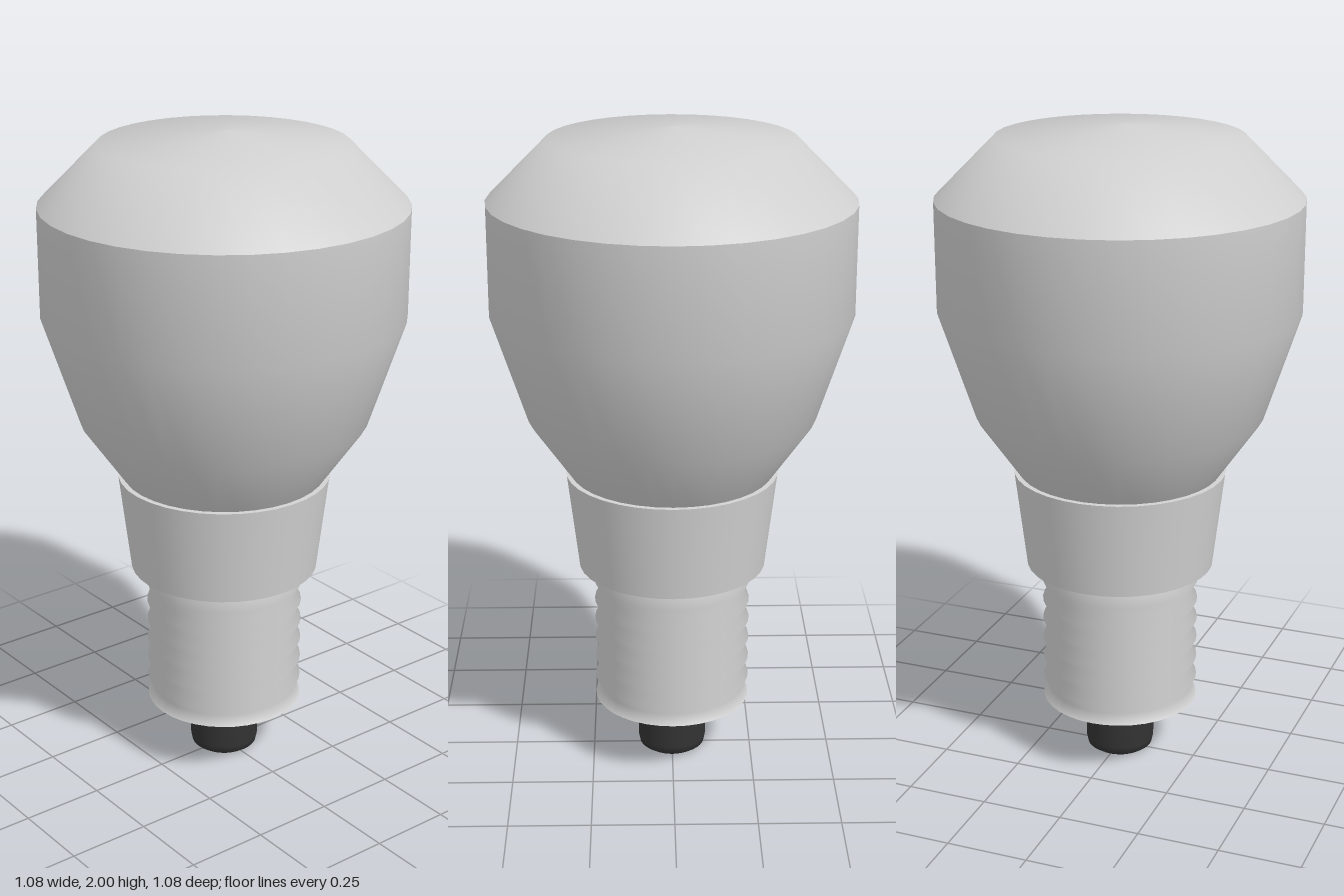
import * as THREE from 'three';

const SEGMENTS = 36;

const glass = new THREE.MeshStandardMaterial({ name: 'frosted glass', color: 0xcfcfcf });
const metal = new THREE.MeshStandardMaterial({ name: 'pale metal', color: 0xd2d2d2 });
const black = new THREE.MeshStandardMaterial({ name: 'black insulator', color: 0x333333 });

// Each profile (radius, height; outside runs upward) is smooth; separate profiles meet at sharp edges.
function turned(name, material, ...profiles) {
  const group = new THREE.Group();
  group.name = name;
  profiles.forEach((profile, i) => {
    const points = profile.map(([r, y]) => new THREE.Vector2(r, y));
    const mesh = new THREE.Mesh(new THREE.LatheGeometry(points, SEGMENTS), material);
    mesh.name = `${name} surface ${i + 1}`;
    group.add(mesh);
  });
  return group;
}

export function createModel() {
  const model = new THREE.Group();
  model.name = 'light bulb';

  // Glass envelope: tapering body and shallow domed face
  model.add(turned('glass bulb', glass,
    [[0.307, 0.945], [0.435, 1.13], [0.542, 1.46], [0.542, 1.787]],
    [[0.542, 1.787], [0.365, 1.965], [0, 2]]));

  // Flared collar with flat rims
  model.add(turned('collar', metal,
    [[0, 0.643], [0.288, 0.643]],
    [[0.288, 0.643], [0.324, 0.946]],
    [[0.324, 0.946], [0.29, 0.946]]));

  // Screw base: rounded ridges repeated along the shaft
  const thread = [[0.242, 0.188]];
  for (let i = 0; i < 6; i++) {
    const y = 0.22 + i * 0.066;
    thread.push([0.224, y], [0.242, y + 0.033]);
  }
  thread.push([0.225, 0.616], [0.232, 0.643]);
  model.add(turned('screw base', metal, [[0, 0.188], [0.242, 0.188]], thread));

  // Bottom contact with a small bevel
  model.add(turned('bottom contact', black,
    [[0, 0], [0.085, 0]],
    [[0.085, 0], [0.102, 0.012], [0.107, 0.035], [0.107, 0.188]]));

  return model;
}
